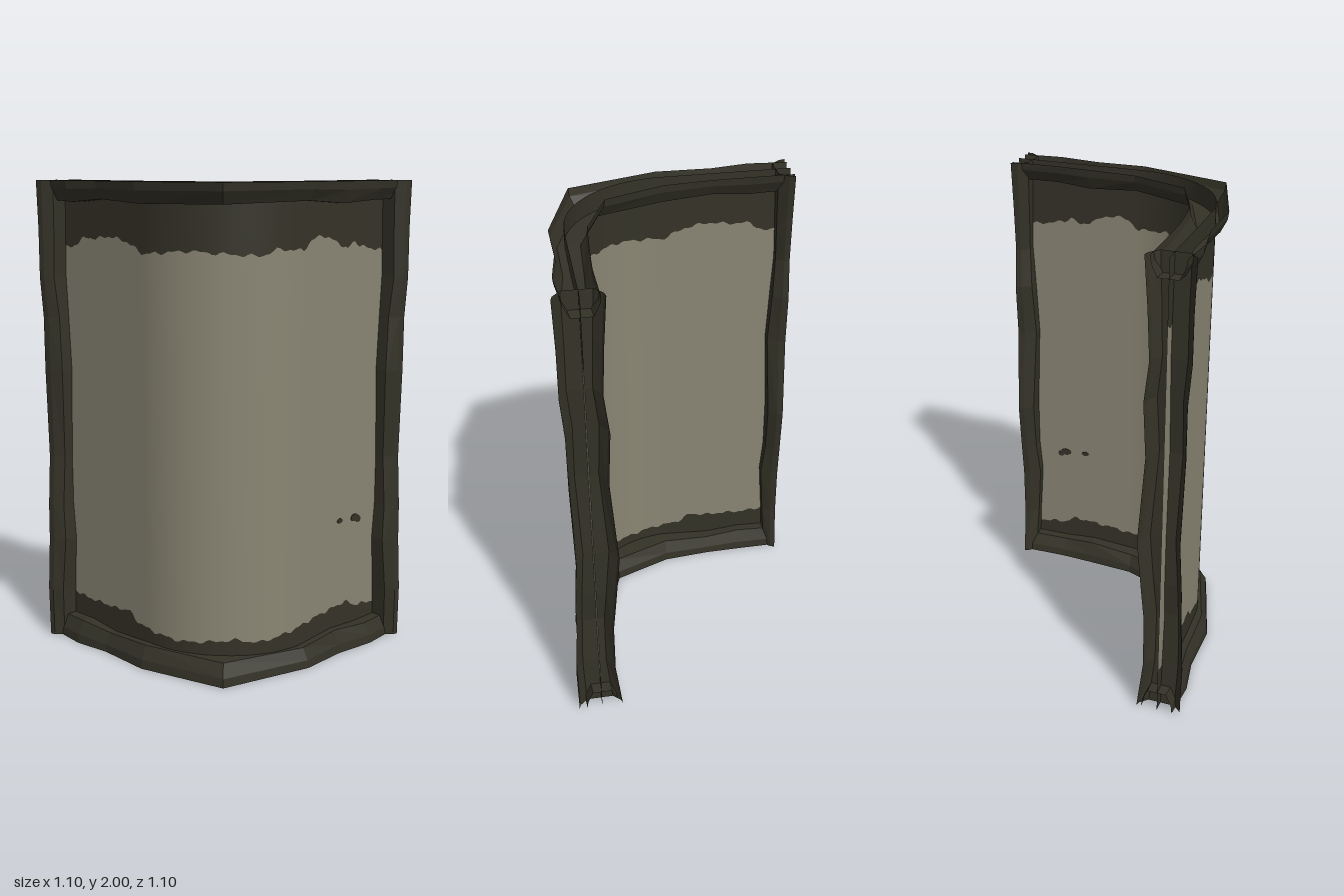
import * as THREE from 'three';

const wood = new THREE.MeshStandardMaterial({ color: 0x343227, side: THREE.DoubleSide });
wood.name = 'dark wood';
const plaster = new THREE.MeshStandardMaterial({ color: 0x8a8674, side: THREE.DoubleSide });
plaster.name = 'pale plaster';

const R = 0.45, ARM = 0.55, ARC = R * Math.PI / 2, LENGTH = 2 * ARM + ARC;

// Surface through rows of points; faceted or smooth
function loft(rows, smooth) {
  const n = rows[0].length, index = [];
  for (let i = 0; i < rows.length - 1; i++)
    for (let j = 0; j < n - 1; j++) {
      const a = i * n + j, b = a + n;
      index.push(a, b, a + 1, b, b + 1, a + 1);
    }
  let g = new THREE.BufferGeometry();
  g.setAttribute('position', new THREE.Float32BufferAttribute(rows.flat(2), 3));
  g.setIndex(index);
  if (!smooth) g = g.toNonIndexed();
  g.computeVertexNormals();
  return g;
}

function add(group, name, geometry, material) {
  const m = new THREE.Mesh(geometry, material);
  m.name = name;
  group.add(m);
  return m;
}

// Plan of the wall: straight arm, quarter circle, straight arm
function plan(s) {
  if (s < ARM) return [-R, s - ARM];
  if (s > ARM + ARC) return [s - ARM - ARC, R];
  const a = (s - ARM) / R;
  return [-R * Math.cos(a), R * Math.sin(a)];
}

// Linear interpolation in [position, value] pairs
function sample(pairs, s) {
  let i = 0;
  while (i < pairs.length - 2 && s > pairs[i + 1][0]) i++;
  const [a, b] = [pairs[i], pairs[i + 1]];
  return THREE.MathUtils.lerp(a[1], b[1], THREE.MathUtils.clamp((s - a[0]) / (b[0] - a[0]), 0, 1));
}

// Ragged limits of the pale plaster
const upper = [[0, 1.74], [0.1, 1.72], [0.17, 1.765], [0.28, 1.77], [0.35, 1.78], [0.45, 1.765], [0.55, 1.72],
  [0.76, 1.74], [1.05, 1.72], [1.12, 1.745], [1.25, 1.735], [1.29, 1.77], [1.36, 1.79], [1.46, 1.755],
  [1.52, 1.725], [1.56, 1.76], [1.6, 1.735], [1.807, 1.7]];
const lower = [[0, 0.2], [0.15, 0.185], [0.35, 0.19], [0.43, 0.205], [0.47, 0.17], [0.55, 0.155], [0.72, 0.14],
  [0.95, 0.16], [1.05, 0.14], [1.25, 0.165], [1.36, 0.18], [1.56, 0.195], [1.62, 0.16], [1.807, 0.14]];
const ragged = s => 0.005 * Math.sin(s * 61) + 0.004 * Math.sin(s * 113 + 1);

function wall() {
  const g = new THREE.Group();
  g.name = 'wall';
  const N = 120;
  const limits = [() => 0, s => sample(lower, s) + ragged(s), s => sample(upper, s) + ragged(s + 2), () => 2];
  ['lowerWallBand', 'plasterField', 'upperWallBand'].forEach((name, k) => {
    const rows = [limits[k], limits[k + 1]].map(f => Array.from({ length: N + 1 }, (_, i) => {
      const s = LENGTH * i / N, [x, z] = plan(s);
      return [x, f(s), z];
    }));
    add(g, name, loft(rows, true), k === 1 ? plaster : wood);
  });
  // Small stains, showing on both faces
  for (const [x, y, rx, ry] of [[0.25, 0.573, 0.018, 0.011], [0.35, 0.567, 0.026, 0.017], [0.375, 0.555, 0.016, 0.014]]) {
    const stain = add(g, 'stain', new THREE.CylinderGeometry(1, 1, 1, 9), wood);
    stain.rotation.x = Math.PI / 2;
    stain.scale.set(rx, 0.006, ry);
    stain.position.set(x, y, R);
  }
  return g;
}

// Beam stations in plan: outer x, z and inner x, z
const stations = [
  [-0.515, -0.55, -0.38, -0.55], [-0.53, -0.38, -0.38, -0.36], [-0.505, -0.22, -0.378, -0.2],
  [-0.51, 0.02, -0.36, 0.01], [-0.4, 0.395, -0.262, 0.262], [-0.01, 0.51, -0.015, 0.36],
  [0.2, 0.505, 0.2, 0.375], [0.38, 0.53, 0.34, 0.382], [0.55, 0.515, 0.55, 0.378]];
// Half a timber: fraction across, fraction of depth
const half = [[0, 0], [0.03, 0.4], [0.2, 1], [0.8, 1], [0.97, 0.4], [1, 0]];

// Half beam cut open at the wall's top or foot
function beam(edge, depth) {
  return loft(stations.map(([ox, oz, ix, iz], i) => half.map(([f, d]) => [
    THREE.MathUtils.lerp(ox, ix, f),
    edge + depth * d * (1 + 0.1 * Math.sin(i * 2.3)),
    THREE.MathUtils.lerp(oz, iz, f)])));
}

// Post rings: height, outer offset, inner offset, depth
const rings = [[0, 0.55, 0.36, 0.05], [0.22, 0.553, 0.385, 0.06], [0.45, 0.54, 0.385, 0.075], [0.6, 0.538, 0.37, 0.062],
  [0.82, 0.525, 0.35, 0.062], [1.2, 0.533, 0.378, 0.077], [1.43, 0.533, 0.366, 0.065], [1.6, 0.546, 0.385, 0.055],
  [1.8, 0.545, 0.375, 0.06], [2, 0.55, 0.36, 0.065]];

// Half post cut open at the wall's end; place maps (across, along) to x, z
function post(place) {
  return loft(rings.map(([y, o, i, depth]) => half.map(([f, d]) => {
    const [x, z] = place(THREE.MathUtils.lerp(o, i, f), 0.55 - depth * d);
    return [x, y, z];
  })));
}

export function createModel() {
  const model = new THREE.Group();
  model.name = 'curvedCornerWall';
  model.add(wall());
  add(model, 'topBeam', beam(2, -0.08), wood);
  add(model, 'bottomBeam', beam(0, 0.09), wood);
  add(model, 'leftPost', post((across, along) => [along, across]), wood);
  add(model, 'backPost', post((across, along) => [-across, -along]), wood);
  return model;
}
